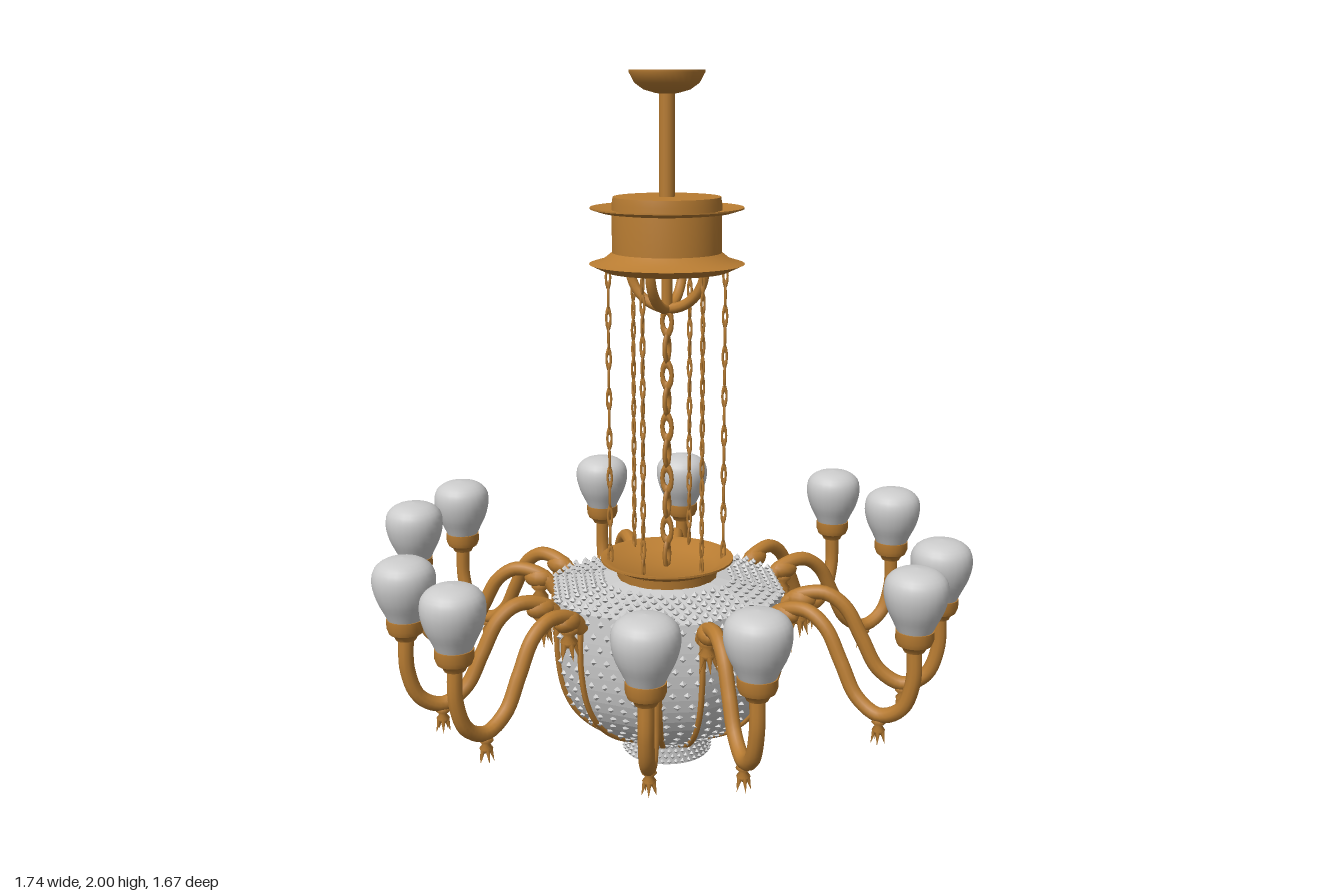
import * as THREE from 'three';
import { mergeGeometries, toCreasedNormals } from 'three/addons/utils/BufferGeometryUtils.js';

const RAD = Math.PI / 180;
const ARM_ANGLES = [];
for (let k = 0; k < 6; k++) ARM_ANGLES.push(k * 60 - 10, k * 60 + 10);

const gold = new THREE.MeshStandardMaterial({ color: 0xb87c32, side: THREE.DoubleSide });
const glass = new THREE.MeshStandardMaterial({ color: 0xcccccc });
const crystal = new THREE.MeshStandardMaterial({ color: 0xcccccc, flatShading: true, side: THREE.DoubleSide });

const vec = (list) => list.map(([r, y]) => new THREE.Vector2(r, y));

function add(parent, name, geometry, material) {
  const mesh = new THREE.Mesh(geometry, material);
  mesh.name = name;
  parent.add(mesh);
  return mesh;
}

// Turned part with sharp corners kept
const turned = (list, seg = 32) => toCreasedNormals(new THREE.LatheGeometry(vec(list), seg), 0.6);

// The bowl has twelve flat panels between the ribs, 20 and 40 degrees wide in turn
function panelFactor(angle) {
  const deg = angle / RAD;
  const a = Math.abs(deg - 60 * Math.round(deg / 60));
  return a < 10 ? Math.cos(10 * RAD) / Math.cos(a * RAD) : Math.cos(20 * RAD) / Math.cos((30 - a) * RAD);
}

// Rings of small faceted crystals along a list of [radius, height] points
function studs(rows, size, spacing, factor) {
  const out = [];
  rows.forEach(([r, y], i) => {
    const n = Math.round((2 * Math.PI * r) / spacing);
    for (let k = 0; k < n; k++) {
      const a = ((k + (i % 2) / 2) / n) * Math.PI * 2;
      const rr = r * factor(a);
      const g = new THREE.OctahedronGeometry(size);
      g.rotateY(-a);
      g.translate(rr * Math.cos(a), y, rr * Math.sin(a));
      out.push(g);
    }
  });
  return mergeGeometries(out);
}

// Chain of oval links, each turned a quarter from the last
function chain(top, bottom, count, width, wire) {
  const pitch = (top - bottom) / count;
  const links = [];
  for (let i = 0; i < count; i++) {
    const g = new THREE.TorusGeometry(width / 2 - wire, wire, 5, 12);
    g.scale(1, (pitch * 1.25) / width, 1);
    g.rotateY((i % 2) * Math.PI / 2);
    g.translate(0, top - (i + 0.5) * pitch, 0);
    links.push(g);
  }
  return mergeGeometries(links);
}

// Hanging bud with a ring of pointed petals; its top is at y = 0
function bud(s) {
  const parts = [new THREE.LatheGeometry(vec([
    [0, -0.06], [0.014, -0.055], [0.022, -0.042], [0.012, -0.028], [0.024, -0.016], [0.018, -0.004], [0, 0],
  ]), 12)];
  for (let k = 0; k < 5; k++) {
    const g = new THREE.ConeGeometry(0.009, 0.05, 6);
    g.rotateX(Math.PI);
    g.translate(0, -0.025, 0);
    g.rotateZ(0.25);
    g.translate(0.012, -0.04, 0);
    g.rotateY((k / 5) * Math.PI * 2);
    parts.push(g);
  }
  return mergeGeometries(parts).scale(s, s, s);
}

function createArm() {
  const arm = new THREE.Group();
  arm.name = 'arm';
  const path = new THREE.CatmullRomCurve3([
    [0.345, 0.47], [0.375, 0.505], [0.42, 0.525], [0.475, 0.527], [0.53, 0.49], [0.58, 0.4],
    [0.63, 0.31], [0.7, 0.272], [0.765, 0.305], [0.797, 0.39], [0.797, 0.495],
  ].map(([r, y]) => new THREE.Vector3(r, y, 0)));
  add(arm, 'armTube', new THREE.TubeGeometry(path, 48, 0.021, 10), gold);

  add(arm, 'lampSocket', turned([
    [0, 0.48], [0.028, 0.48], [0.034, 0.492], [0.046, 0.5], [0.052, 0.515], [0.052, 0.54], [0, 0.54],
  ], 20), gold).position.x = 0.797;
  const bulbCurve = new THREE.SplineCurve(vec([
    [0.045, 0.532], [0.058, 0.56], [0.077, 0.6], [0.087, 0.645], [0.08, 0.683], [0.05, 0.707], [0, 0.715],
  ]));
  const outline = bulbCurve.getPoints(18);
  outline[18].x = 0;
  add(arm, 'bulb', new THREE.LatheGeometry(outline, 24), glass).position.x = 0.797;

  add(arm, 'lowerBud', bud(0.85), gold).position.set(0.7, 0.265, 0);
  add(arm, 'innerBud', bud(1.15), gold).position.set(0.395, 0.495, 0);
  const collar = add(arm, 'innerCollar', new THREE.SphereGeometry(0.03, 12, 8), gold);
  collar.position.set(0.4, 0.505, 0);
  collar.scale.set(1.5, 1, 1);
  return arm;
}

export function createModel() {
  const model = new THREE.Group();
  model.name = 'chandelier';

  // Ceiling mount and rod
  add(model, 'ceilingCup', turned([
    [0, 1.935], [0.03, 1.937], [0.065, 1.947], [0.09, 1.965], [0.105, 1.993], [0.105, 2], [0, 2],
  ]), gold);
  add(model, 'rod', new THREE.CylinderGeometry(0.022, 0.022, 0.31, 16), gold).position.y = 1.795;

  // Canopy drum with its two flanges
  add(model, 'canopy', turned([
    [0, 1.5], [0.15, 1.5], [0.175, 1.447], [0.22, 1.468], [0.18, 1.48], [0.155, 1.5], [0.155, 1.635],
    [0.152, 1.655], [0, 1.655],
  ], 40), gold);
  add(model, 'canopyFlange', turned([
    [0.15, 1.608], [0.185, 1.612], [0.217, 1.622], [0.217, 1.626], [0.185, 1.62], [0.15, 1.618],
  ], 40), gold);

  // Crossed hoops under the canopy
  for (let k = 0; k < 2; k++) {
    const hoop = add(model, 'hoop', new THREE.TorusGeometry(0.115, 0.015, 8, 24, Math.PI), gold);
    hoop.rotation.set(Math.PI, k * Math.PI / 2, 0);
    hoop.position.y = 1.455;
  }
  add(model, 'hoopStems', new THREE.CylinderGeometry(0.016, 0.016, 0.17, 10), gold).position.y = 1.415;

  // Chains
  add(model, 'centreChain', chain(1.34, 0.57, 10, 0.044, 0.007), gold);
  for (let k = 0; k < 6; k++) {
    const a = (30 + 60 * k) * RAD;
    const c = add(model, 'sideChain', chain(1.46, 0.585, 15, 0.019, 0.0035), gold);
    c.position.set(0.167 * Math.cos(a), 0, 0.167 * Math.sin(a));
    c.rotation.y = -a;
  }

  // Dish on top of the bowl
  add(model, 'dish', turned([
    [0, 0.535], [0.145, 0.535], [0.15, 0.575], [0.195, 0.597], [0.195, 0.603], [0.175, 0.6], [0.145, 0.58], [0, 0.575],
  ], 40), gold);

  // Panelled bowl and its shoulder
  const side = new THREE.SplineCurve(vec([
    [0.135, 0.065], [0.22, 0.105], [0.29, 0.17], [0.33, 0.25], [0.347, 0.34], [0.35, 0.42], [0.345, 0.49],
  ]));
  const shoulder = [[0.343, 0.512], [0.15, 0.55]];
  const profile = [...side.getPoints(14), ...vec(shoulder)];
  const bowl = new THREE.LatheGeometry(profile, 36);
  const p = bowl.attributes.position;
  for (let i = 0; i < p.count; i++) {
    const f = panelFactor(Math.atan2(p.getZ(i), p.getX(i)));
    p.setXYZ(i, p.getX(i) * f, p.getY(i), p.getZ(i) * f);
  }
  bowl.computeVertexNormals();
  add(model, 'bowl', bowl, crystal);

  const rows = side.getSpacedPoints(14).slice(1).map((q) => [q.x, q.y]);
  add(model, 'bowlCrystals', studs(rows, 0.011, 0.042, panelFactor), crystal);
  const topRows = [];
  for (let k = 0; k < 6; k++) topRows.push([0.345 - k * 0.028, 0.518 + k * 0.0055]);
  add(model, 'shoulderCrystals', studs(topRows, 0.011, 0.034, panelFactor), crystal);

  // Foot ring
  add(model, 'foot', new THREE.CylinderGeometry(0.128, 0.128, 0.07, 40), crystal).position.y = 0.035;
  const footRows = [0.009, 0.025, 0.041, 0.057].map((y) => [0.128, y]);
  add(model, 'footCrystals', studs(footRows, 0.008, 0.02, () => 1), crystal);

  // Ribs up the bowl, each meeting an arm
  const ribPath = new THREE.CatmullRomCurve3(
    side.getPoints(14).map((q) => new THREE.Vector3(q.x + 0.002, q.y, 0)));
  const ribGeometry = new THREE.TubeGeometry(ribPath, 28, 0.009, 6);
  for (const deg of ARM_ANGLES) {
    add(model, 'rib', ribGeometry, gold).rotation.y = -deg * RAD;
    const arm = createArm();
    arm.rotation.y = -deg * RAD;
    model.add(arm);
  }
  return model;
}
